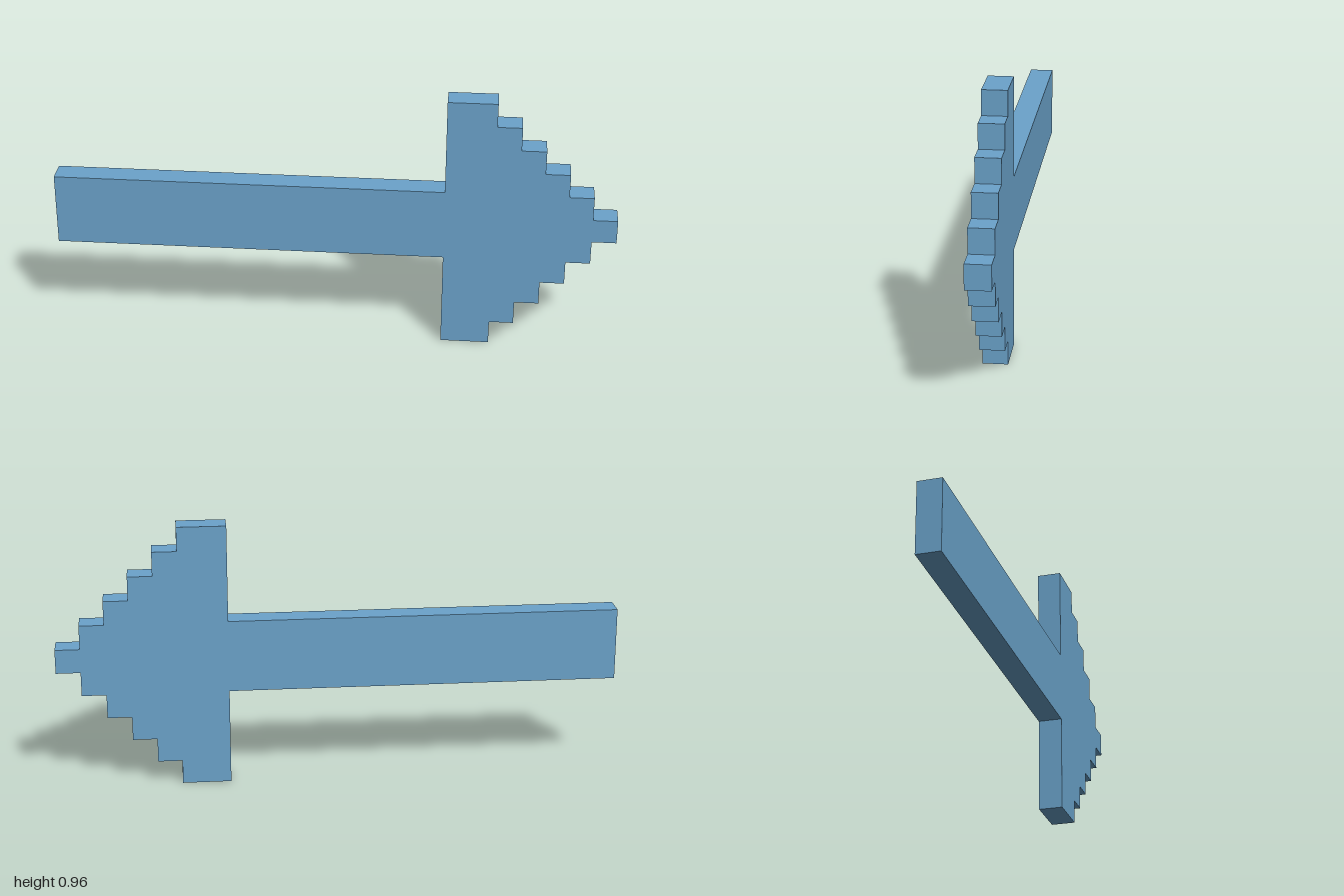
import * as THREE from 'three';

// Everything sits on a square grid: 23 cells long, 11 high, 1 deep
const CELL = 2 / 23;
const SHAFT_LENGTH = 16;
const SHAFT_HALF = 1.5;
const HEAD_HALF = 5.5;
const STEPS = 5;

export function createModel() {
  const blue = new THREE.MeshStandardMaterial({ color: 0x6ba3cb });
  blue.name = 'steel blue';

  // Lower half of the outline, from the shaft's end to the stepped tip
  const lower = [
    [0, -SHAFT_HALF],
    [SHAFT_LENGTH, -SHAFT_HALF],
    [SHAFT_LENGTH, -HEAD_HALF],
  ];
  for (let i = 0; i <= STEPS; i++) {
    const x = SHAFT_LENGTH + 2 + i;
    const y = -HEAD_HALF + i;
    lower.push([x, y]);
    if (i < STEPS) lower.push([x, y + 1]);
  }

  // Mirror it to close the outline
  const upper = lower.map(([x, y]) => [x, -y]).reverse();
  const outline = [...lower, ...upper].map(
    ([x, y]) => new THREE.Vector2(x * CELL - 1, (y + HEAD_HALF) * CELL)
  );

  // Flat arrow plate
  const geometry = new THREE.ExtrudeGeometry(new THREE.Shape(outline), {
    depth: CELL,
    bevelEnabled: false,
  });
  geometry.translate(0, 0, -CELL / 2);
  const arrow = new THREE.Mesh(geometry, blue);
  arrow.name = 'steppedArrow';

  const model = new THREE.Group();
  model.name = 'arrow';
  model.add(arrow);
  return model;
}
